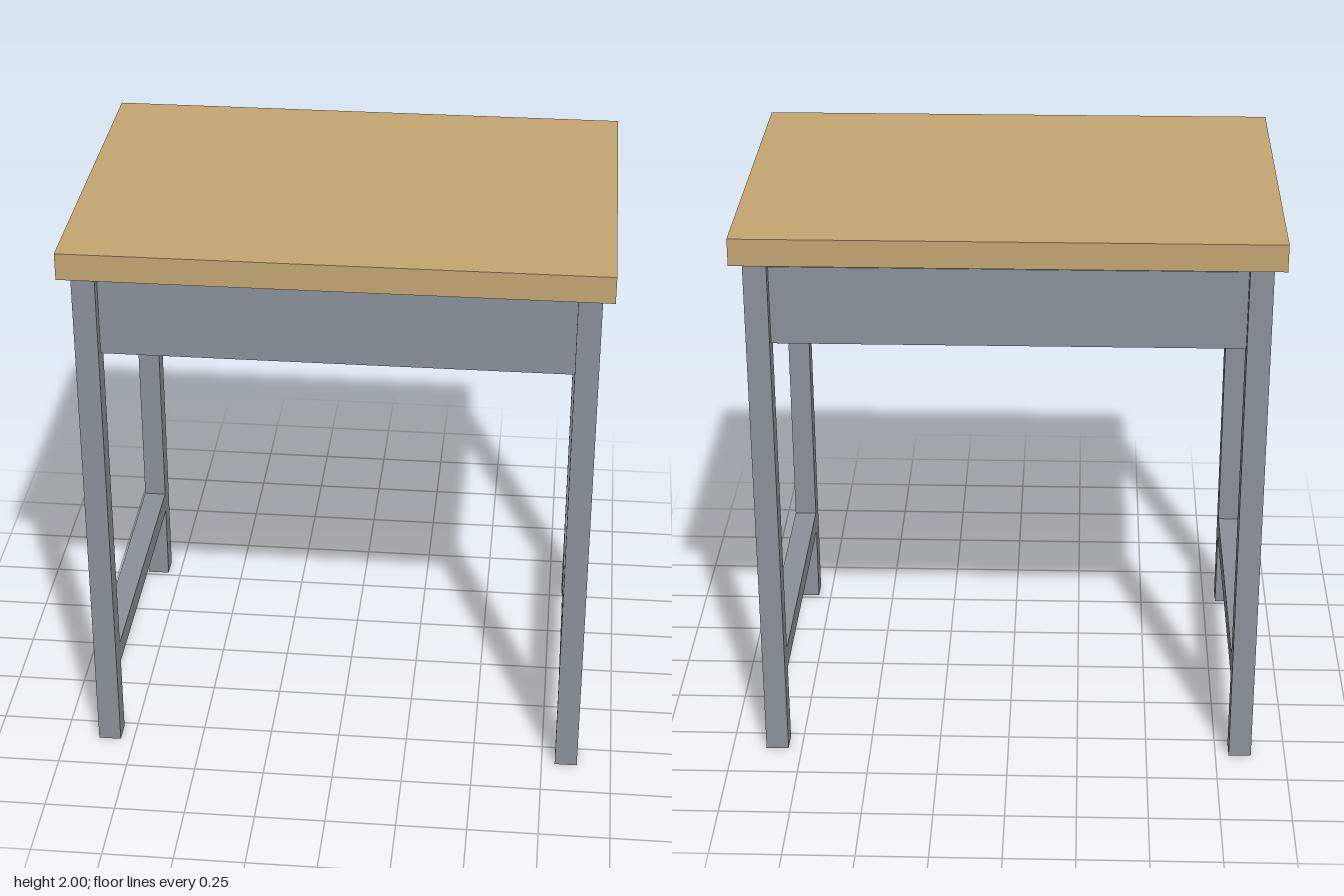
import * as THREE from 'three';

export function createModel() {
  const model = new THREE.Group();
  model.name = 'desk';

  const wood = new THREE.MeshStandardMaterial({ color: 0xc4a672 });
  wood.name = 'wood';
  const steel = new THREE.MeshStandardMaterial({ color: 0x8b929a });
  steel.name = 'grey steel';

  // Box given by its size, centre and bottom / top heights
  const addBox = (name, material, width, depth, bottom, top, x = 0, z = 0) => {
    const mesh = new THREE.Mesh(new THREE.BoxGeometry(width, top - bottom, depth), material);
    mesh.name = name;
    mesh.position.set(x, (bottom + top) / 2, z);
    model.add(mesh);
  };

  const legSize = 0.08;
  const legX = 0.838;
  const legZ = 0.558;

  // Top board, floating just above the frame
  addBox('tableTop', wood, 1.836, 1.28, 1.905, 2);

  // Storage tray whose walls run between the leg centres
  addBox('storageTray', steel, legX * 2, legZ * 2, 1.593, 1.87);

  // Legs, and a low stretcher joining front and back on each side
  for (const [side, sx] of [['left', 1], ['right', -1]]) {
    for (const [end, sz] of [['Front', 1], ['Back', -1]]) {
      addBox(`${side}${end}Leg`, steel, legSize, legSize, 0, 1.897, sx * legX, sz * legZ);
    }
    addBox(`${side}Stretcher`, steel, legSize, legZ * 2 - legSize, 0.295, 0.375, sx * legX);
  }

  return model;
}
